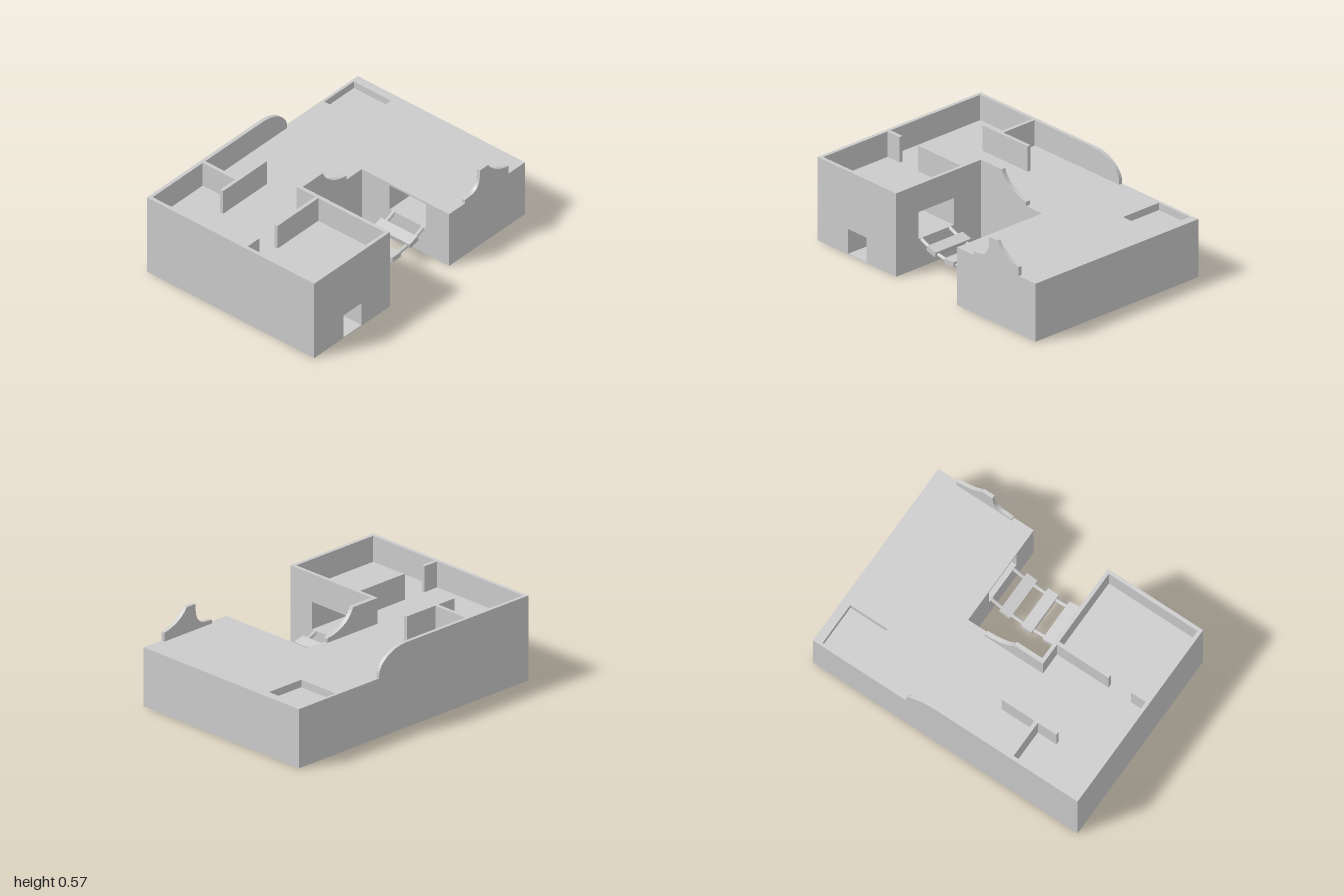
import * as THREE from 'three';

const DECK = 0.4, TOP = 0.575, T = 0.025;

export function createModel() {
  const model = new THREE.Group();
  const mat = new THREE.MeshStandardMaterial({ color: 0xcccccc });
  const add = (name, geo, parent = model) => {
    const mesh = new THREE.Mesh(geo, mat);
    mesh.name = name;
    parent.add(mesh);
    return mesh;
  };
  const box = (name, x0, x1, y0, y1, z0, z1) =>
    add(name, new THREE.BoxGeometry(x1 - x0, y1 - y0, z1 - z0)
      .translate((x0 + x1) / 2, (y0 + y1) / 2, (z0 + z1) / 2));
  const poly = pts => new THREE.Shape(pts.map(p => new THREE.Vector2(...p)));
  const rect = (a, b, c, d) => poly([[a, c], [b, c], [b, d], [a, d]]);

  // Inward-facing box with one side left out (0..5 = +x -x +y -y +z -z)
  const recess = (name, open, x0, x1, y0, y1, z0, z1) => {
    const geo = new THREE.BoxGeometry(x1 - x0, y1 - y0, z1 - z0);
    const kept = Array.from(geo.index.array).filter((v, i) => Math.floor(i / 6) !== open);
    geo.setIndex(kept.reverse());
    geo.clearGroups();
    const flat = geo.toNonIndexed();
    flat.computeVertexNormals();
    add(name, flat.translate((x0 + x1) / 2, (y0 + y1) / 2, (z0 + z1) / 2));
  };

  // U-shaped base: outline walls, some with openings
  const outline = [[-1, 0.69], [-0.28, 0.69], [-0.28, -0.03], [0.28, -0.03],
    [0.28, 0.69], [1, 0.69], [1, -0.69], [-1, -0.69]];
  const openings = {
    0: rect(0.28, 0.45, 0.005, 0.175),
    1: rect(0.19, 0.49, 0.2, 0.385),
    3: rect(0.23, 0.53, 0.2, 0.385),
  };
  const base = new THREE.Group();
  base.name = 'base';
  model.add(base);
  outline.forEach(([x, z], i) => {
    const [x2, z2] = outline[(i + 1) % outline.length];
    const dir = new THREE.Vector3(x2 - x, 0, z2 - z);
    const shape = rect(0, dir.length(), 0, DECK);
    if (openings[i]) shape.holes.push(openings[i]);
    dir.normalize();
    const up = new THREE.Vector3(0, 1, 0);
    const m = new THREE.Matrix4().makeBasis(dir, up, dir.clone().cross(up)).setPosition(x, 0, z);
    add('baseSide', new THREE.ShapeGeometry(shape).applyMatrix4(m), base);
  });

  // Deck with pit opening, and underside
  const deck = poly(outline.map(([x, z]) => [x, -z]));
  deck.holes.push(rect(0.66, 0.94, 0.365, 0.67));
  add('deck', new THREE.ShapeGeometry(deck).rotateX(-Math.PI / 2).translate(0, DECK, 0), base);
  add('underside', new THREE.ShapeGeometry(poly(outline)).rotateX(Math.PI / 2), base);

  recess('pit', 2, 0.66, 0.94, 0.35, DECK, -0.67, -0.365);
  recess('frontDoorway', 4, -0.72, -0.55, 0.005, 0.175, 0.29, 0.69);
  recess('rightBridgeDoorway', 0, -0.58, -0.28, 0.2, 0.385, 0.2, 0.5);
  recess('leftBridgeDoorway', 1, 0.28, 0.58, 0.2, 0.385, 0.2, 0.5);

  // Straight room walls
  const wall = (name, x0, x1, z0, z1) => box(name, x0, x1, DECK, TOP, z0, z1);
  wall('outerWall', -1, -1 + T, -0.69, 0.69);
  wall('frontWall', -1 + T, -0.28, 0.69 - T, 0.69);
  wall('courtWall', -0.305, -0.28, -0.06, 0.69 - T);
  wall('backPartition', -0.5, -0.475, -0.69 + T, -0.4);
  wall('crossPartition', -0.64, -0.225, -0.4, -0.375);
  wall('frontPartitionStub', -1 + T, -0.865, 0.095, 0.12);
  wall('frontPartition', -0.695, -0.305, 0.095, 0.12);

  // Walls with curved, broken-off ends
  const curvedWall = (name, shape, z, depth = T) =>
    add(name, new THREE.ExtrudeGeometry(shape, { depth, bevelEnabled: false, curveSegments: 10 })
      .translate(0, 0, z));

  const back = new THREE.Shape();
  back.moveTo(-1 + T, DECK);
  back.lineTo(0.3, DECK);
  back.lineTo(0.3, 0.42);
  back.bezierCurveTo(0.3, 0.49, 0.2, 0.57, 0.08, TOP);
  back.lineTo(-1 + T, TOP);
  curvedWall('backWall', back, -0.69);

  const court = new THREE.Shape();
  court.moveTo(-0.28, DECK);
  court.lineTo(0.135, DECK);
  court.lineTo(0.135, 0.43);
  court.bezierCurveTo(0.03, 0.44, -0.06, 0.49, -0.09, TOP);
  court.lineTo(-0.28, TOP);
  curvedWall('courtBackWall', court, -0.06, 0.03);

  const ruin = new THREE.Shape();
  ruin.moveTo(0.43, DECK);
  ruin.lineTo(0.845, DECK);
  ruin.lineTo(0.845, 0.46);
  ruin.bezierCurveTo(0.77, 0.47, 0.69, 0.51, 0.65, TOP);
  ruin.lineTo(0.575, TOP);
  ruin.lineTo(0.57, 0.51);
  ruin.bezierCurveTo(0.56, 0.46, 0.53, 0.43, 0.48, 0.43);
  ruin.lineTo(0.43, 0.425);
  curvedWall('ruinedWall', ruin, 0.69 - T);

  // Sagging plank bridge
  const bridge = new THREE.Group();
  bridge.name = 'bridge';
  model.add(bridge);
  const sag = x => 0.122 + 0.83 * x * x;
  for (const z of [0.23, 0.472]) {
    const pts = [];
    for (let i = 0; i <= 8; i++) pts.push(new THREE.Vector3(-0.29 + i * 0.0725, sag(-0.29 + i * 0.0725), z));
    add('bridgeRope', new THREE.TubeGeometry(new THREE.CatmullRomCurve3(pts), 16, 0.013, 8), bridge);
  }
  for (const x of [-0.165, 0, 0.165]) {
    const plank = add('bridgePlank', new THREE.BoxGeometry(0.08, 0.036, 0.3), bridge);
    plank.position.set(x, sag(x) + 0.009, 0.35);
    plank.rotation.z = Math.atan(1.66 * x);
  }
  return model;
}
